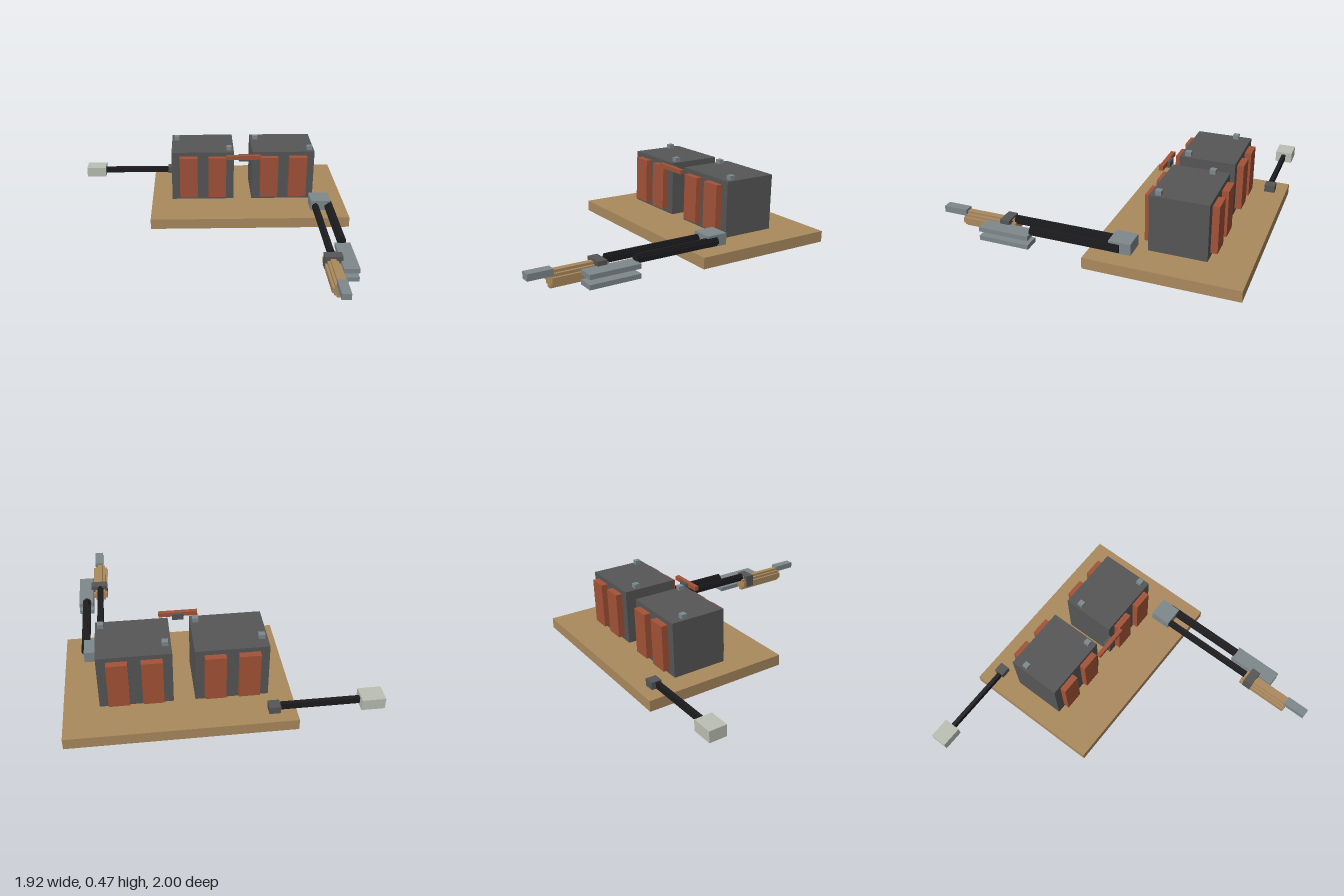
import * as THREE from 'three';

const mat = (name, color) => {
  const m = new THREE.MeshStandardMaterial({ color });
  m.name = name;
  return m;
};

export function createModel() {
  const wood = mat('wood', 0xab8a5e);
  const iron = mat('dark iron', 0x565656);
  const copper = mat('copper', 0xa35237);
  const steel = mat('steel', 0x7e888b);
  const rubber = mat('black rubber', 0x1c1c1f);
  const ivory = mat('ivory plastic', 0xbcbfb3);

  const model = new THREE.Group();
  model.name = 'spotWelder';

  // Box given by its extents on each axis
  const box = (name, material, [x0, x1], [y0, y1], [z0, z1], parent = model) => {
    const mesh = new THREE.Mesh(new THREE.BoxGeometry(x1 - x0, y1 - y0, z1 - z0), material);
    mesh.name = name;
    mesh.position.set((x0 + x1) / 2, (y0 + y1) / 2, (z0 + z1) / 2);
    parent.add(mesh);
    return mesh;
  };

  // Bar with a stepped round section, running along z
  const steppedBar = (name, material, x, y, rx, ry, z0, z1) => {
    const quarter = [[1, 0.36], [0.7, 0.36], [0.7, 0.7], [0.36, 0.7], [0.36, 1]];
    const points = [];
    for (const [sx, sy] of [[1, 1], [-1, 1], [-1, -1], [1, -1]]) {
      const corner = quarter.map(([a, b]) => new THREE.Vector2(a * rx * sx, b * ry * sy));
      points.push(...(sx * sy > 0 ? corner : corner.reverse()));
    }
    const geometry = new THREE.ExtrudeGeometry(new THREE.Shape(points), { depth: z1 - z0, bevelEnabled: false });
    const mesh = new THREE.Mesh(geometry, material);
    mesh.name = name;
    mesh.position.set(x, y, z0);
    model.add(mesh);
    return mesh;
  };

  box('baseBoard', wood, [-0.43, 0.96], [0, 0.072], [-1, -0.045]);

  // Two transformers, each with a core, two windings and two terminals
  for (const [side, x] of [['right', -0.285], ['left', 0.295]]) {
    const unit = new THREE.Group();
    unit.name = side + 'Transformer';
    unit.position.x = x;
    model.add(unit);
    box('core', iron, [0, 0.448], [0.072, 0.436], [-0.742, -0.38], unit);
    for (const cx of [0.122, 0.328]) {
      for (const [z0, z1] of [[-0.785, -0.742], [-0.38, -0.338]]) {
        box('winding', copper, [cx - 0.064, cx + 0.064], [0.102, 0.406], [z0, z1], unit);
      }
    }
    box('rearTerminal', steel, [0.017, 0.055], [0.436, 0.465], [-0.665, -0.628], unit);
    box('frontTerminal', steel, [0.396, 0.433], [0.436, 0.465], [-0.45, -0.412], unit);
  }

  // Link between the transformers
  box('linkBar', copper, [0.105, 0.35], [0.408, 0.436], [-0.333, -0.305]);
  box('linkJoint', iron, [0.195, 0.265], [0.393, 0.434], [-0.35, -0.31]);

  // Mains cord with plug
  box('mainsCable', rubber, [-0.82, -0.32], [0.075, 0.116], [-0.9, -0.873]);
  box('cableClamp', iron, [-0.33, -0.26], [0.072, 0.12], [-0.928, -0.86]);
  box('mainsPlug', ivory, [-0.965, -0.82], [0.058, 0.132], [-0.945, -0.83]);

  // Output block and its two leads
  box('outputBlock', steel, [0.703, 0.84], [0.072, 0.146], [-0.305, -0.165]);
  steppedBar('probeLead', rubber, 0.735, 0.103, 0.022, 0.028, -0.2, 0.5);
  steppedBar('clampLead', rubber, 0.83, 0.103, 0.028, 0.028, -0.235, 0.35);

  // Hand probe
  steppedBar('probeHandle', wood, 0.736, 0.053, 0.05, 0.052, 0.49, 0.855);
  box('probeCollar', iron, [0.685, 0.8], [0.03, 0.118], [0.517, 0.58]);
  box('probeTip', steel, [0.713, 0.772], [0.078, 0.12], [0.84, 1]);

  // Clamp made of two jaws
  for (const [name, y] of [['lowerJaw', 0], ['upperJaw', 0.06]]) {
    box(name, steel, [0.787, 0.888], [y, y + 0.03], [0.345, 0.68]);
  }
  return model;
}
